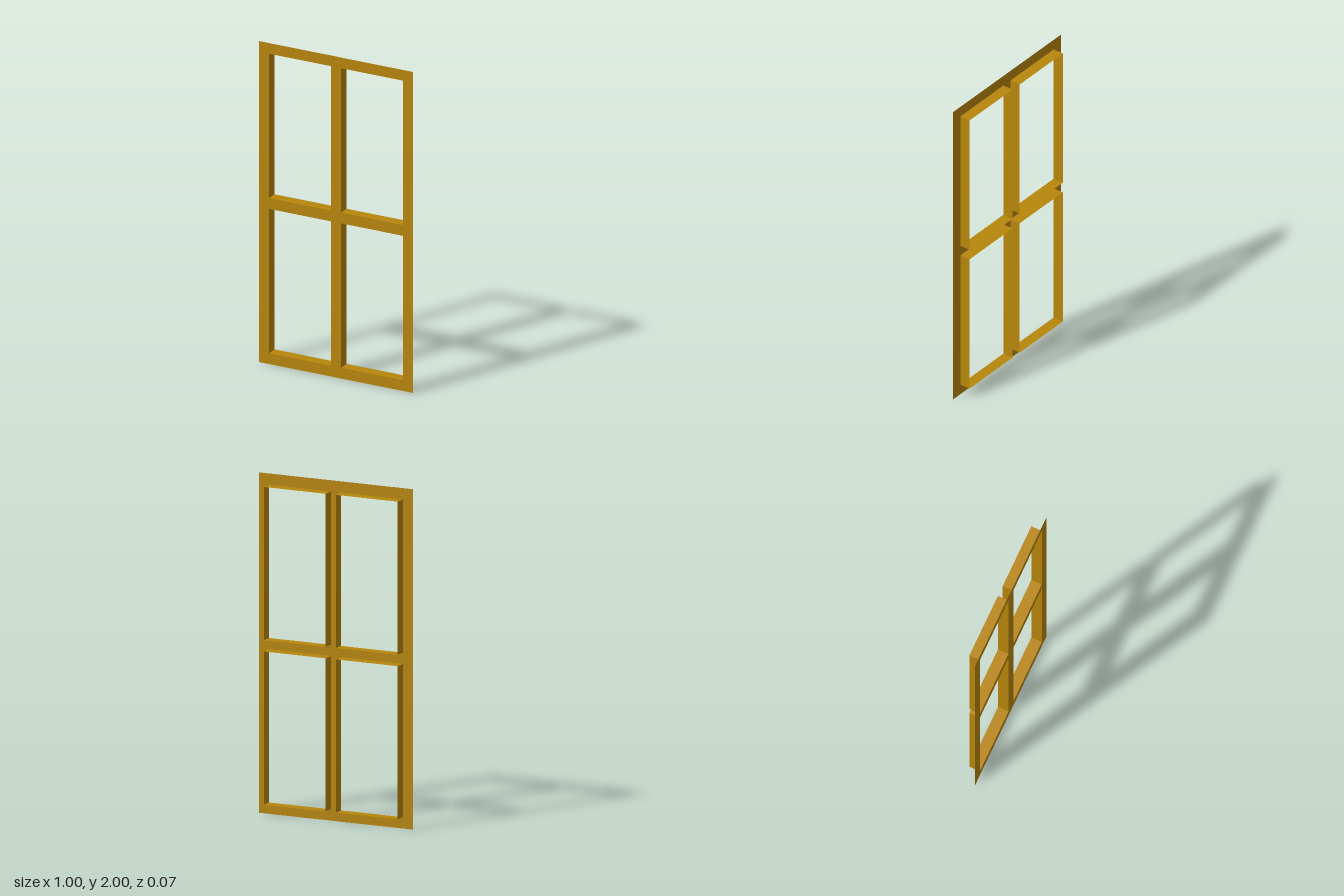
import * as THREE from 'three';

const WIDTH = 1, HEIGHT = 2, BAR = 0.0667, DEPTH = 0.0667;
const PANE_W = (WIDTH - 3 * BAR) / 2;
const PANE_H = (HEIGHT - 3 * BAR) / 2;

const material = new THREE.MeshStandardMaterial({ color: 0xb8860b, side: THREE.DoubleSide, flatShading: true });

function rectangle(path, x, y, w, h) {
  path.moveTo(x - w / 2, y - h / 2);
  path.lineTo(x + w / 2, y - h / 2);
  path.lineTo(x + w / 2, y + h / 2);
  path.lineTo(x - w / 2, y + h / 2);
  path.closePath();
  return path;
}

// Four thin walls lining one opening, open at front and back
function createLining() {
  const lining = new THREE.Group();
  for (const side of [-1, 1]) {
    const jamb = new THREE.Mesh(new THREE.PlaneGeometry(DEPTH, PANE_H), material);
    jamb.name = side < 0 ? 'rightJamb' : 'leftJamb';
    jamb.rotation.y = side * Math.PI / 2;
    jamb.position.x = side * PANE_W / 2;

    const ledge = new THREE.Mesh(new THREE.PlaneGeometry(PANE_W, DEPTH), material);
    ledge.name = side < 0 ? 'sill' : 'header';
    ledge.rotation.x = -side * Math.PI / 2;
    ledge.position.y = side * PANE_H / 2;
    lining.add(jamb, ledge);
  }
  return lining;
}

export function createModel() {
  const model = new THREE.Group();
  model.name = 'windowFrame';

  // Thin front sheet with four openings
  const outline = rectangle(new THREE.Shape(), 0, HEIGHT / 2, WIDTH, HEIGHT);
  for (const sx of [-1, 1]) {
    for (const sy of [-1, 1]) {
      const x = sx * (PANE_W + BAR) / 2;
      const y = HEIGHT / 2 + sy * (PANE_H + BAR) / 2;
      outline.holes.push(rectangle(new THREE.Path(), x, y, PANE_W, PANE_H));

      // Lining running back from each opening
      const lining = createLining();
      lining.name = (sy < 0 ? 'lower' : 'upper') + (sx < 0 ? 'Right' : 'Left') + 'Lining';
      lining.position.set(x, y, 0);
      model.add(lining);
    }
  }
  const face = new THREE.Mesh(new THREE.ShapeGeometry(outline), material);
  face.name = 'frontFace';
  face.position.z = DEPTH / 2;
  model.add(face);
  return model;
}
